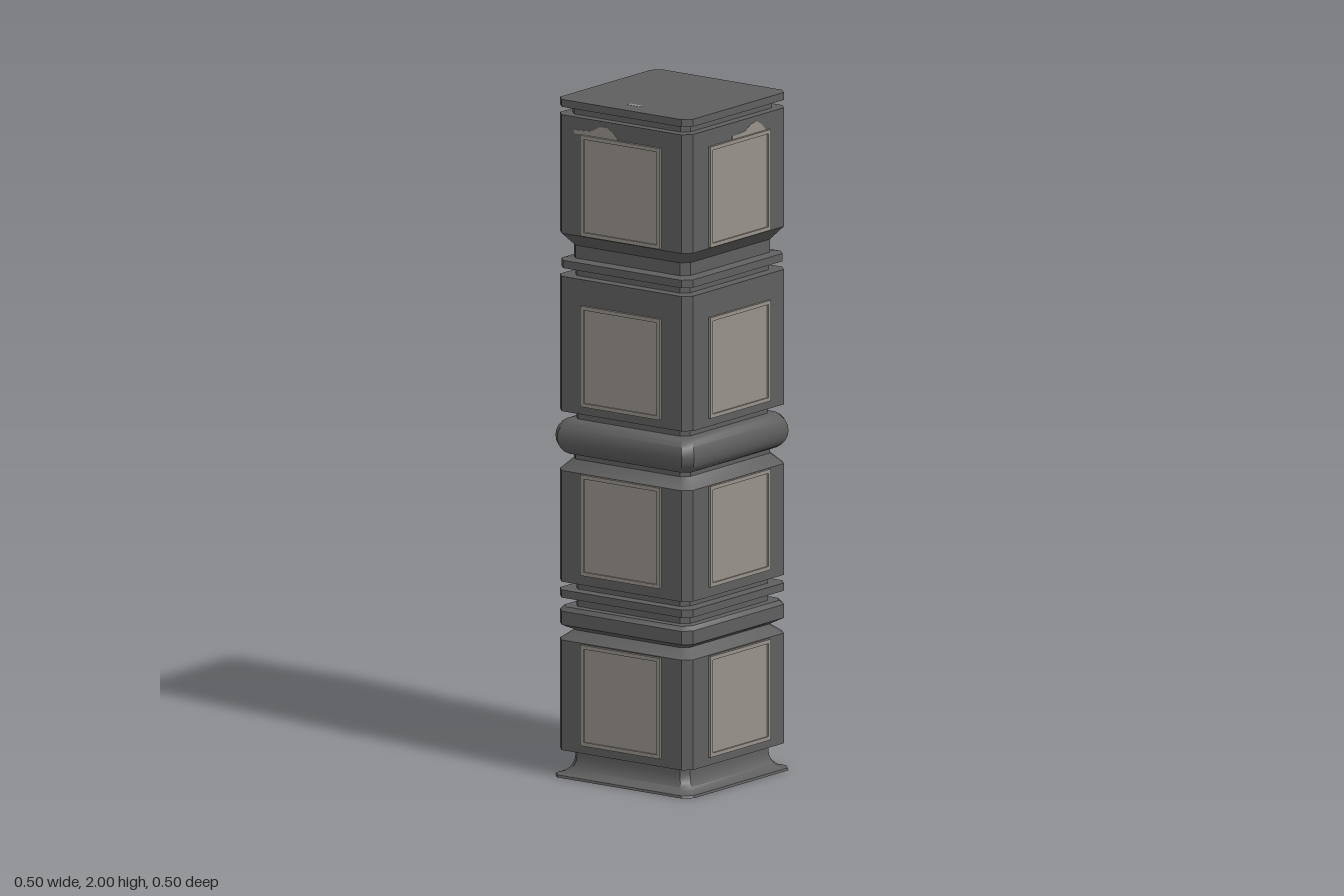
import * as THREE from 'three';
import { toCreasedNormals } from 'three/addons/utils/BufferGeometryUtils.js';

const stone = new THREE.MeshStandardMaterial({ color: 0x5f5f5f, side: THREE.DoubleSide });
stone.name = 'dark stone';
const inlay = new THREE.MeshStandardMaterial({ color: 0x97918b });
inlay.name = 'pale inlay';

// Chamfered square ring of half width h at height y, counter-clockwise from above
function ring(h, y) {
  const a = h * 0.9;
  return [[h, a], [h, -a], [a, -h], [-a, -h], [-h, -a], [-h, a], [-a, h], [a, h]]
    .map(([x, z]) => [x, y, z]);
}

// Skin a bottom-to-top profile of [half width, height]; optionally close the top
function section(name, profile, closeTop = false) {
  const rings = profile.map(([h, y]) => ring(h, y));
  const pos = [];
  for (let i = 0; i < rings.length - 1; i++) {
    for (let j = 0; j < 8; j++) {
      const k = (j + 1) % 8;
      const a = rings[i][j], b = rings[i][k], c = rings[i + 1][k], d = rings[i + 1][j];
      pos.push(...a, ...b, ...c, ...a, ...c, ...d);
    }
  }
  if (closeTop) {
    const top = rings[rings.length - 1];
    for (let j = 1; j < 7; j++) pos.push(...top[0], ...top[j], ...top[j + 1]);
  }
  const geo = new THREE.BufferGeometry();
  geo.setAttribute('position', new THREE.Float32BufferAttribute(pos, 3));
  const mesh = new THREE.Mesh(toCreasedNormals(geo, 0.65), stone);
  mesh.name = name;
  return mesh;
}

// Raised square frame around a slightly recessed panel, facing +z
const HALF = 0.143, RIM = 0.011;
const square = (s, Type) => new Type([[-s, -s], [s, -s], [s, s], [-s, s]].map(([x, y]) => new THREE.Vector2(x, y * 1.04)));
const frameShape = square(HALF, THREE.Shape);
frameShape.holes.push(square(HALF - RIM, THREE.Path));
const frameGeo = new THREE.ExtrudeGeometry(frameShape, { depth: 0.01, bevelEnabled: false });
const panelGeo = new THREE.BoxGeometry(2 * HALF, 2 * HALF * 1.04, 0.008);

// Small worn patch above the top panels
const patchShape = new THREE.Shape([[-0.1, 0], [0.06, 0], [0.04, 0.02], [0.015, 0.034], [-0.01, 0.03], [-0.04, 0.014], [-0.1, 0.01]]
  .map(([x, y]) => new THREE.Vector2(x, y)));
const patchGeo = new THREE.ExtrudeGeometry(patchShape, { depth: 0.001, bevelEnabled: false });

function framedPanel(y) {
  const g = new THREE.Group();
  g.name = 'framedPanel';
  const frame = new THREE.Mesh(frameGeo, inlay);
  frame.name = 'panelFrame';
  frame.position.set(0, y, 0.238);
  const panel = new THREE.Mesh(panelGeo, inlay);
  panel.name = 'panel';
  panel.position.set(0, y, 0.239);
  g.add(frame, panel);
  return g;
}

export function createModel() {
  const model = new THREE.Group();
  model.name = 'pillar';

  // Half round moulding around the middle
  const bulge = [];
  for (let i = 0; i <= 10; i++) {
    const t = -Math.PI / 2 + (Math.PI * i) / 10;
    bulge.push([0.212 + 0.038 * Math.cos(t), 1.003 + 0.052 * Math.sin(t)]);
  }

  // Concave flare of the open foot
  const foot = [[0.25, 0], [0.248, 0.007]];
  for (let i = 1; i <= 6; i++) {
    const t = (Math.PI / 2) * (i / 6);
    foot.push([0.248 - 0.041 * Math.sin(t), 0.007 + 0.053 * (1 - Math.cos(t))]);
  }
  foot.push([0.207, 0.08]);

  model.add(
    section('foot', foot),
    section('firstBlock', [[0.207, 0.08], [0.24, 0.08], [0.24, 0.405], [0.207, 0.432]]),
    section('lowerLedge', [[0.207, 0.432], [0.24, 0.45], [0.24, 0.49], [0.23, 0.502], [0.205, 0.502], [0.205, 0.53]]),
    section('lowerRing', [[0.205, 0.53], [0.24, 0.53], [0.24, 0.553], [0.205, 0.553], [0.205, 0.577]]),
    section('secondBlock', [[0.205, 0.577], [0.24, 0.577], [0.24, 0.905], [0.21, 0.937], [0.21, 0.951]]),
    section('middleMoulding', [[0.21, 0.951], ...bulge, [0.205, 1.055], [0.205, 1.08]]),
    section('thirdBlock', [[0.205, 1.08], [0.24, 1.08], [0.24, 1.478], [0.207, 1.478], [0.207, 1.502]]),
    section('upperRing', [[0.207, 1.502], [0.237, 1.502], [0.237, 1.525], [0.21, 1.53], [0.21, 1.568]]),
    section('fourthBlock', [[0.21, 1.568], [0.24, 1.605], [0.24, 1.955], [0.213, 1.955], [0.213, 1.978]]),
    section('topCap', [[0.213, 1.978], [0.24, 1.978], [0.24, 2]], true),
  );

  // One column of panels on each of the four sides
  for (let side = 0; side < 4; side++) {
    const column = new THREE.Group();
    column.name = 'panelColumn';
    for (const y of [0.253, 0.755, 1.253, 1.757]) column.add(framedPanel(y));
    const patch = new THREE.Mesh(patchGeo, inlay);
    patch.name = 'wornPatch';
    patch.position.set(side % 2 ? -0.07 : 0.07, 1.906, 0.24);
    column.add(patch);
    column.rotation.y = (side * Math.PI) / 2;
    model.add(column);
  }

  // Worn spot on the cap
  const spot = new THREE.Mesh(new THREE.BoxGeometry(0.015, 0.001, 0.046), inlay);
  spot.name = 'capWornSpot';
  spot.position.set(-0.174, 2, 0);
  model.add(spot);

  return model;
}
